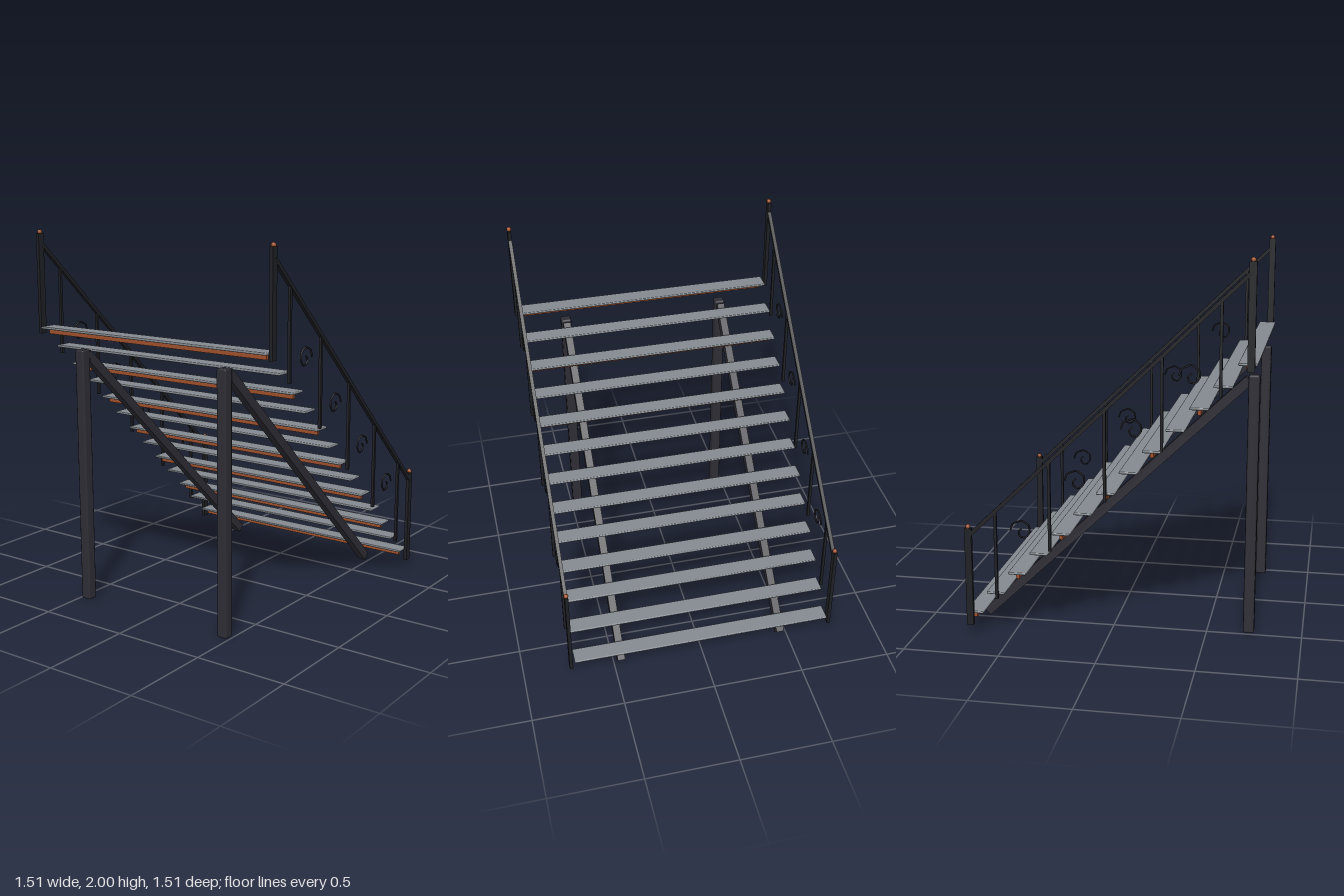
import * as THREE from 'three';
import { RoundedBoxGeometry } from 'three/addons/geometries/RoundedBoxGeometry.js';

const mat = (name, color) => {
  const m = new THREE.MeshStandardMaterial({ color });
  m.name = name;
  return m;
};

export function createModel() {
  const model = new THREE.Group();
  model.name = 'staircase';
  const slate = mat('slate tread', 0x848a90);
  const timber = mat('dark frame', 0x2e2d35);
  const iron = mat('black iron', 0x1f2024);
  const rust = mat('rust accent', 0xa0502c);

  const add = (parent, name, geometry, material, x, y, z) => {
    const mesh = new THREE.Mesh(geometry, material);
    mesh.name = name;
    mesh.position.set(x, y, z);
    parent.add(mesh);
    return mesh;
  };

  // Square bar between two points (y, z) in a plane of constant x
  const slopedBar = (parent, name, geometryFor, material, x, [y0, z0], [y1, z1]) => {
    const length = Math.hypot(y1 - y0, z1 - z0);
    const bar = add(parent, name, geometryFor(length), material, x, (y0 + y1) / 2, (z0 + z1) / 2);
    bar.rotation.x = -Math.atan2(y1 - y0, z1 - z0);
    return bar;
  };

  // Treads, with a cross brace under every second one
  const treads = 13;
  const treadGeo = new RoundedBoxGeometry(1.446, 0.013, 0.096, 2, 0.005);
  const braceGeo = new THREE.BoxGeometry(1.4, 0.028, 0.018);
  for (let i = 0; i < treads; i++) {
    const t = i / (treads - 1);
    const y = 0.111 + 1.37 * t;
    const z = -0.707 + 1.412 * t;
    add(model, 'tread', treadGeo, slate, 0, y, z);
    if (i % 2 === 0) add(model, 'treadBrace', braceGeo, rust, 0, y - 0.0205, z);
  }

  // Scroll ornament as (y, z) offsets from its centre
  const scrollPoints = [
    [-0.005, -0.062], [0.032, -0.048], [0.051, 0], [0.027, 0.037], [-0.01, 0.042],
    [-0.04, 0.021], [-0.037, -0.01], [-0.01, -0.02], [0.01, 0],
  ].map(([y, z]) => new THREE.Vector3(0, y, z));
  const scrollGeo = new THREE.TubeGeometry(
    new THREE.CatmullRomCurve3(scrollPoints, false, 'catmullrom', 0.1), 24, 0.005, 6);

  const legGeo = new RoundedBoxGeometry(0.058, 1.385, 0.058, 1, 0.01);
  const postGeo = new THREE.BoxGeometry(0.019, 0.532, 0.037);
  const capGeo = new THREE.SphereGeometry(0.013, 12, 8);
  const balusterGeo = new THREE.BoxGeometry(0.015, 0.48, 0.015);

  for (const side of [-1, 1]) {
    // Leg and sloping stringer
    const xf = 0.46 * side;
    const frame = new THREE.Group();
    frame.name = side > 0 ? 'leftFrame' : 'rightFrame';
    model.add(frame);
    add(frame, 'leg', legGeo, timber, xf, 0.6925, 0.72);
    slopedBar(frame, 'stringer', (l) => new THREE.BoxGeometry(0.042, 0.05, l),
      timber, xf, [0.018, -0.711], [1.36, 0.695]);

    // Railing: end posts with caps, handrail, balusters and scrolls
    const xr = 0.741 * side;
    const railing = new THREE.Group();
    railing.name = side > 0 ? 'leftRailing' : 'rightRailing';
    model.add(railing);
    for (const [y, z] of [[0.317, -0.722], [1.714, 0.722]]) {
      add(railing, 'post', postGeo, iron, xr, y, z);
      add(railing, 'postCap', capGeo, rust, xr, y + 0.273, z);
    }
    slopedBar(railing, 'handrail', (l) => new THREE.BoxGeometry(0.02, 0.02, l),
      iron, xr, [0.544, -0.715], [1.925, 0.715]);
    for (let i = 0; i < 5; i++) {
      add(railing, 'baluster', balusterGeo, iron, xr, 0.444 + 0.2785 * i, -0.575 + 0.288 * i);
      if (i < 4) add(railing, 'scroll', scrollGeo, iron, xr, 0.588 + 0.279 * i, -0.433 + 0.289 * i);
    }
  }
  return model;
}
